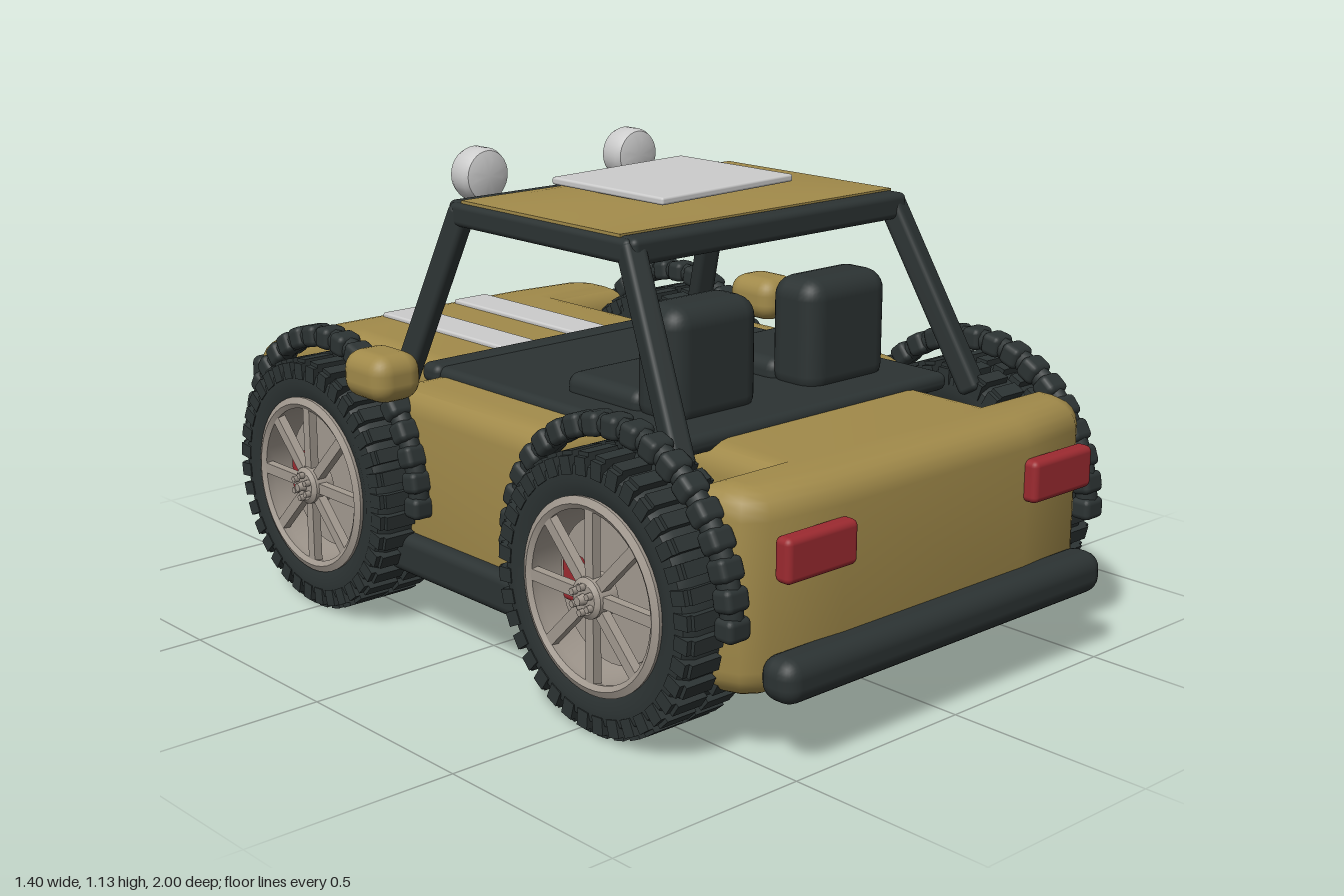
import * as THREE from 'three';
import { mergeGeometries, toCreasedNormals } from 'three/addons/utils/BufferGeometryUtils.js';
import { RoundedBoxGeometry } from 'three/addons/geometries/RoundedBoxGeometry.js';

const mat = (color, side = THREE.FrontSide) => new THREE.MeshStandardMaterial({ color, side });
const GOLD = mat(0xa18a4a), DARK = mat(0x2c3333), RED = mat(0x9c2a30);
const RIM = mat(0xa39a90, THREE.DoubleSide), GREY = mat(0xcccccc);

function add(parent, name, geometry, material, x = 0, y = 0, z = 0) {
  const mesh = new THREE.Mesh(geometry, material);
  mesh.name = name;
  mesh.position.set(x, y, z);
  parent.add(mesh);
  return mesh;
}

// Rounded block given by centre and size
function block(parent, name, material, [x, y, z], [w, h, d], r = 0.02) {
  return add(parent, name, new RoundedBoxGeometry(w, h, d, 3, r), material, x, y, z);
}

// Bar between two points
function bar(parent, name, a, b, thickness) {
  const p = new THREE.Vector3(...a), q = new THREE.Vector3(...b);
  const m = block(parent, name, DARK, [0, 0, 0], [thickness, thickness, p.distanceTo(q) + thickness * 0.6], thickness * 0.25);
  m.position.copy(p).add(q).multiplyScalar(0.5);
  m.lookAt(q);
  return m;
}

// Plan outline with four wheel wells, extruded upward with rounded edges
function bodyGeometry() {
  const half = [[0.3, 0.935], [0.5, 0.915], [0.55, 0.88], [0.57, 0.83], [0.57, 0.74], [0.36, 0.74], [0.36, 0.33], [0.57, 0.33],
    [0.57, -0.31], [0.36, -0.31], [0.36, -0.73], [0.57, -0.73], [0.57, -0.84], [0.55, -0.89], [0.5, -0.925], [0.3, -0.945]];
  const outline = [...half, ...half.map(([x, z]) => [-x, z]).reverse()];
  const shape = new THREE.Shape(outline.map(p => new THREE.Vector2(...p)));
  const r = 0.065;
  const geo = new THREE.ExtrudeGeometry(shape, {
    depth: 0.455 - 2 * r, bevelThickness: r, bevelSize: r, bevelOffset: -r, bevelSegments: 5,
  });
  geo.rotateX(Math.PI / 2).translate(0, 0.6 - r, 0);
  return toCreasedNormals(geo, 0.7);
}

// Lathe profile [radius, x], turned so its axis is x
function turned(profile, segments = 48) {
  return toCreasedNormals(new THREE.LatheGeometry(profile.map(p => new THREE.Vector2(...p)), segments).rotateZ(-Math.PI / 2), 0.6);
}

// Copies of a geometry set around the x axis
function ring(geo, count, start = 0, step = Math.PI * 2 / count) {
  return mergeGeometries(Array.from({ length: count }, (_, i) => geo.clone().rotateX(start + i * step)));
}

// Wheel with its outer face toward +x
function createWheel() {
  const wheel = new THREE.Group();
  wheel.name = 'wheel';
  add(wheel, 'tire', turned([[0.215, -0.09], [0.25, -0.103], [0.285, -0.095], [0.299, -0.07], [0.299, 0.07],
    [0.285, 0.095], [0.25, 0.103], [0.215, 0.09], [0.205, 0.06], [0.205, -0.06], [0.215, -0.09]]), DARK);
  // Two staggered rows of tread blocks wrapping over the shoulders
  const rows = [-1, 1].map((s, i) => {
    const lug = mergeGeometries([
      new THREE.BoxGeometry(0.082, 0.026, 0.033).translate(s * 0.049, 0.301, 0),
      new THREE.BoxGeometry(0.018, 0.04, 0.033).translate(s * 0.093, 0.285, 0)]);
    return ring(lug, 36, i * Math.PI / 36);
  });
  add(wheel, 'tread', mergeGeometries(rows), DARK);
  // Rim barrel and lip
  add(wheel, 'rim', turned([[0.2, -0.085], [0.198, 0.075], [0.192, 0.1], [0.204, 0.108], [0.22, 0.1], [0.216, 0.075]]), RIM);
  add(wheel, 'spokes', ring(new THREE.BoxGeometry(0.022, 0.17, 0.026).translate(0.09, 0.115, 0), 8), RIM);
  add(wheel, 'hub', turned([[0, 0.06], [0.048, 0.06], [0.046, 0.108], [0.035, 0.116], [0, 0.116]], 24), RIM);
  const bolt = new THREE.CylinderGeometry(0.008, 0.008, 0.024, 6).rotateZ(Math.PI / 2).translate(0.118, 0.028, 0);
  add(wheel, 'bolts', ring(bolt, 6), RIM);
  add(wheel, 'hubCap', new THREE.CylinderGeometry(0.01, 0.014, 0.03, 12).rotateZ(-Math.PI / 2), RIM, 0.12);
  // Brake disc
  add(wheel, 'brakeDisc', new THREE.CylinderGeometry(0.165, 0.165, 0.02, 40).rotateZ(Math.PI / 2), RIM, 0.03);
  return wheel;
}

// Ribbed half ring over a wheel
function createArch() {
  const arch = new THREE.Group();
  arch.name = 'wheelArch';
  add(arch, 'archBand', new THREE.TorusGeometry(0.348, 0.026, 10, 40, Math.PI).rotateY(Math.PI / 2), DARK);
  const rib = new RoundedBoxGeometry(0.065, 0.054, 0.052, 2, 0.014).translate(0, 0.35, 0);
  add(arch, 'archRibs', ring(rib, 19, -Math.PI / 2, Math.PI / 18), DARK);
  return arch;
}

export function createModel() {
  const car = new THREE.Group();
  car.name = 'offRoadCar';

  add(car, 'body', bodyGeometry(), GOLD);

  // Cabin floor, seats and dash
  block(car, 'cabinDeck', DARK, [0, 0.597, 0.14], [0.88, 0.045, 0.88], 0.02);
  for (const s of [-1, 1]) {
    block(car, 'seatBack', DARK, [s * 0.215, 0.73, 0.395], [0.27, 0.28, 0.15], 0.05);
    block(car, 'seatCushion', DARK, [s * 0.215, 0.63, 0.22], [0.27, 0.07, 0.26], 0.03);
  }
  block(car, 'dashEdge', DARK, [0, 0.6, -0.3], [0.9, 0.05, 0.07], 0.02);

  // Roof frame and pillars
  const frontTop = -0.195, rearTop = 0.405, roofY = 1.005;
  for (const s of [-1, 1]) {
    bar(car, 'frontPillar', [s * 0.42, roofY, frontTop], [s * 0.485, 0.59, -0.345], 0.056);
    bar(car, 'rearPillar', [s * 0.42, roofY, rearTop], [s * 0.475, 0.59, 0.62], 0.056);
    bar(car, 'roofSideRail', [s * 0.42, roofY, frontTop], [s * 0.42, roofY, rearTop], 0.056);
  }
  bar(car, 'roofFrontRail', [-0.42, roofY, frontTop], [0.42, roofY, frontTop], 0.062);
  bar(car, 'roofRearRail', [-0.42, roofY, rearTop], [0.42, roofY, rearTop], 0.062);

  // Slightly domed roof panel
  const roof = new THREE.BoxGeometry(0.87, 0.05, 0.56, 16, 1, 12);
  const p = roof.attributes.position;
  for (let i = 0; i < p.count; i++) {
    const u = p.getX(i) / 0.435, v = p.getZ(i) / 0.28;
    p.setY(i, p.getY(i) + 0.026 * (1 - u * u) * (1 - v * v));
  }
  roof.computeVertexNormals();
  add(car, 'roofPanel', roof, GOLD, 0, 1.015, 0.105);
  block(car, 'roofPlate', GREY, [-0.005, 1.074, 0.085], [0.42, 0.018, 0.39], 0.006).rotation.z = 0.02;

  // Roof spotlights
  for (const s of [-1, 1]) {
    add(car, 'spotlight', turned([[0, -0.042], [0.04, -0.041], [0.061, -0.034], [0.067, -0.02], [0.067, 0.02],
      [0.061, 0.034], [0.04, 0.041], [0, 0.042]], 32).rotateY(Math.PI / 2), GREY, s * 0.245, 1.06, -0.35);
  }

  // Hood stripes
  for (const s of [-1, 1])
    block(car, 'hoodStripe', GREY, [s * 0.12, 0.602, -0.625], [0.11, 0.018, 0.51], 0.006);

  // Headlights, grille and bumpers
  for (const s of [-1, 1]) {
    const lamp = new THREE.Group();
    lamp.name = 'headlight';
    lamp.position.set(s * 0.39, 0.45, -0.945);
    lamp.rotation.y = s * 0.05;
    block(lamp, 'headlightFrame', DARK, [0, 0, 0], [0.29, 0.17, 0.05], 0.02);
    block(lamp, 'headlightLens', GREY, [0, 0.005, -0.02], [0.23, 0.12, 0.035], 0.014);
    car.add(lamp);
    block(car, 'tailLight', RED, [s * 0.395, 0.46, 0.945], [0.21, 0.1, 0.045], 0.015);
    block(car, 'mirror', GOLD, [s * 0.632, 0.645, -0.235], [0.136, 0.115, 0.165], 0.045);
    block(car, 'sill', DARK, [s * 0.565, 0.195, 0.015], [0.075, 0.1, 0.62], 0.025);
  }
  block(car, 'grille', DARK, [0, 0.365, -0.965], [0.42, 0.18, 0.07], 0.02);
  block(car, 'frontBumper', DARK, [0, 0.21, -0.92], [1.05, 0.11, 0.1], 0.04);
  block(car, 'rearBumper', DARK, [0, 0.205, 0.95], [1.05, 0.1, 0.1], 0.04);

  // Wheels, brake calipers and arches
  for (const z of [-0.515, 0.545]) {
    for (const s of [-1, 1]) {
      const wheel = createWheel();
      wheel.position.set(s * 0.565, 0.314, z);
      if (s < 0) wheel.rotation.y = Math.PI;
      car.add(wheel);
      block(car, 'brakeCaliper', RED, [s * 0.605, 0.315, z - 0.11], [0.05, 0.1, 0.05], 0.012);
      const arch = createArch();
      arch.position.set(s * 0.585, 0.325, z);
      car.add(arch);
    }
    add(car, 'axle', new THREE.CylinderGeometry(0.03, 0.03, 1.12, 16).rotateZ(Math.PI / 2), DARK, 0, 0.314, z);
  }
  return car;
}
